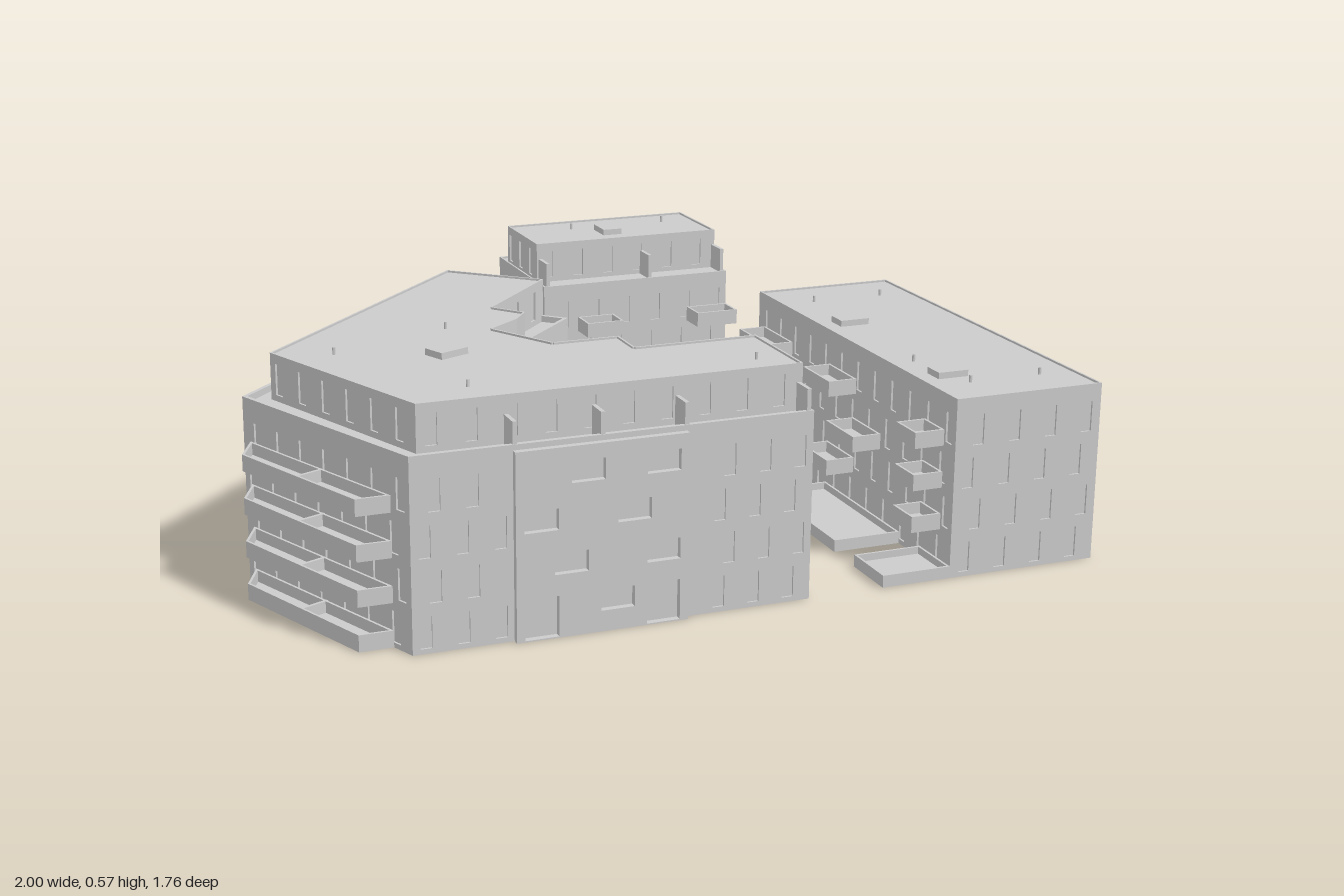
import * as THREE from 'three';

const MAT = new THREE.MeshStandardMaterial({ color: 0xcccccc, flatShading: true });
const THIN = new THREE.MeshStandardMaterial({ color: 0xcccccc, flatShading: true, side: THREE.DoubleSide });
const T = 0.005; // wall thickness, also window depth and parapet height
const FLOORS = [0, 0.105, 0.21, 0.315];

const rect = (x0, x1, z0, z1) => [[x0, z1], [x1, z1], [x1, z0], [x0, z0]];
const outline = (poly) => poly.map(([x, z]) => new THREE.Vector2(x, -z));

function add(parent, geo, name, x = 0, y = 0, z = 0, mat = MAT) {
  const m = new THREE.Mesh(geo, mat);
  m.name = name;
  m.position.set(x, y, z);
  parent.add(m);
  return m;
}

function box(parent, name, x0, x1, y0, y1, z0, z1, turn = 0) {
  add(parent, new THREE.BoxGeometry(x1 - x0, y1 - y0, z1 - z0), name,
    (x0 + x1) / 2, (y0 + y1) / 2, (z0 + z1) / 2).rotation.y = turn;
}

// Moves every edge of an [x, z] outline inwards by d, with mitred corners
function inset(poly, d) {
  const n = poly.length;
  const normal = (a, b) => {
    const dx = b[0] - a[0], dz = b[1] - a[1], l = Math.hypot(dx, dz);
    return [-dz / l, dx / l];
  };
  return poly.map((p, i) => {
    const a = normal(poly[(i + n - 1) % n], p), b = normal(p, poly[(i + 1) % n]);
    const k = d / (1 + a[0] * b[0] + a[1] * b[1]);
    return [p[0] - (a[0] + b[0]) * k, p[1] - (a[1] + b[1]) * k];
  });
}

// Upright prism over an outline, optionally with a hole
function prism(parent, name, poly, y, h, hole) {
  const s = new THREE.Shape(outline(poly));
  if (hole) s.holes.push(new THREE.Path(outline(hole)));
  const g = new THREE.ExtrudeGeometry(s, { depth: h, bevelEnabled: false });
  add(parent, g.rotateX(-Math.PI / 2), name, 0, y, 0);
}

// Flat wall of length len with rectangular openings [x, y, w, h]
function wallGeometry(len, h, openings, depth) {
  const path = (P, x, y, w, t) => {
    const p = new P();
    p.moveTo(x, y); p.lineTo(x + w, y); p.lineTo(x + w, y + t); p.lineTo(x, y + t);
    p.closePath();
    return p;
  };
  const s = path(THREE.Shape, 0, 0, len, h);
  openings.forEach((o) => s.holes.push(path(THREE.Path, ...o)));
  return new THREE.ExtrudeGeometry(s, { depth, bevelEnabled: false });
}

// Hollow block, open below: a roof, and walls with shallow recessed windows.
// bays[edge] = { at, len, top, openings } is a raised panel on that wall.
function block(parent, name, poly, y, h, floors, bays = {}) {
  const g = new THREE.Group();
  g.name = name;
  parent.add(g);
  const roof = new THREE.ShapeGeometry(new THREE.Shape(outline(inset(poly, T / 2))));
  add(g, roof.rotateX(-Math.PI / 2), 'roof', 0, y + h - T, 0, THIN);
  poly.forEach((p, i) => {
    const q = poly[(i + 1) % poly.length];
    const dx = q[0] - p[0], dz = q[1] - p[1], len = Math.hypot(dx, dz);
    const list = [].concat(bays[i] || []);
    const openings = [];
    const n = Math.round(len / 0.09);
    if (len > 0.1) floors.forEach((fy, f) => {
      for (let k = 0; k < n; k++) {
        const x = (k + 0.5) * len / n + (f % 2 ? 0.012 : -0.012) - 0.014;
        if (list.some((b) => x > b.at - 0.04 && x < b.at + b.len + 0.01)) continue;
        openings.push([x, fy + 0.012, 0.028, 0.075]);
      }
    });
    const wall = new THREE.Group();
    wall.name = 'facade';
    const X = new THREE.Vector3(dx / len, 0, dz / len), Z = new THREE.Vector3(-dz / len, 0, dx / len);
    wall.applyMatrix4(new THREE.Matrix4().makeBasis(X, new THREE.Vector3(0, 1, 0), Z)
      .setPosition(p[0], y, p[1]));
    g.add(wall);
    add(wall, wallGeometry(len, h, openings, T), 'windowWall', 0, 0, -T);
    add(wall, new THREE.PlaneGeometry(len, h - T), 'windowPanes', len / 2, (h - T) / 2, -T - 0.0005, THIN);
    list.forEach((b) => add(wall, wallGeometry(b.len, b.top, b.openings, 0.016), 'entrancePanel', b.at));
  });
}

// Balcony or terrace: floor slab with a low parapet
function tray(parent, name, poly, y, h) {
  prism(parent, name + 'Floor', poly, y, 0.012);
  prism(parent, name + 'Parapet', poly, y, h, inset(poly, 0.006));
}

function vents(parent, y, list) {
  list.forEach(([x, z]) => add(parent, new THREE.CylinderGeometry(0.004, 0.004, 0.025, 8), 'vent', x, y, z));
}

// Raised entrance panels: openings are [x, y, w, h]
const win = (x, y) => [x, y, 0.08, 0.05];
const door = (x) => [x, 0.003, 0.08, 0.097];
const tallBay = (at) => ({
  at, len: 0.41, top: 0.445,
  openings: [door(0.02), door(0.31), win(0.09, 0.15), win(0.2, 0.05), win(0.24, 0.255), win(0.02, 0.255),
    win(0.31, 0.15), win(0.13, 0.36), win(0.31, 0.36)],
});
const lowBay = (at, ...windows) => ({
  at, len: 0.31, top: 0.32, openings: [door(0.03), ...windows],
});
const bayA = (at) => lowBay(at, win(0.03, 0.255), win(0.1, 0.15), win(0.21, 0.05));
const bayB = (at) => lowBay(at, win(0.205, 0.255), win(0.03, 0.15), win(0.135, 0.05));

function angledBuilding(root) {
  const g = new THREE.Group();
  g.name = 'angledBuilding';
  root.add(g);
  const plan = [[-0.735, 0.86], [0.222, 0.86], [0.222, 0.472], [-0.09, 0.472], [-0.09, 0.43],
    [-0.16, 0.43], [-0.27, 0.2], [-0.22, 0.145], [-0.235, 0.105], [-0.02, -0.11], [-0.295, -0.38], [-0.97, 0.295]];
  block(g, 'lowerFloors', plan, 0, 0.447, FLOORS, { 0: tallBay(0.235), 10: tallBay(0.3) });
  prism(g, 'roofParapet', plan, 0.442, 0.016, inset(plan, 0.01));
  block(g, 'topFloor', [[-0.7, 0.8], [0.22, 0.8], [0.22, 0.54], [-0.09, 0.54], [-0.09, 0.435], [-0.255, 0.435],
    [-0.35, 0.265], [-0.265, 0.2], [-0.225, 0.145], [-0.285, 0.07], [-0.07, -0.16], [-0.275, -0.345], [-0.9, 0.29]],
  0.44, 0.115, [0.005]);
  // Roof terrace dividers
  [-0.5, -0.295, -0.095, 0.205].forEach((x) => box(g, 'terraceDivider', x, x + 0.01, 0.44, 0.51, 0.8, 0.858));
  box(g, 'terraceDivider', 0.205, 0.215, 0.44, 0.51, 0.475, 0.54);
  [0.3, 0.505, 0.71].forEach((s) => {
    const x = -0.281 - s * 0.707, z = -0.366 + s * 0.707;
    box(g, 'terraceDivider', x - 0.02, x + 0.02, 0.44, 0.51, z - 0.005, z + 0.005, -Math.PI / 4);
  });
  // Outer balconies on the slanted side
  FLOORS.forEach((y) => {
    tray(g, 'slantedBalcony', [[-1, 0.41], [-0.84, 0.8], [-0.76, 0.8], [-0.96, 0.32]], y, 0.04);
    box(g, 'balconyDivider', -0.92, -0.85, y, y + 0.04, 0.583, 0.591, 0.4);
  });
  // Courtyard terraces and balconies
  tray(g, 'terrace', rect(0.035, 0.222, 0.295, 0.472), 0, 0.03);
  tray(g, 'terrace', [[-0.15, 0.02], [-0.03, 0.145], [0.1, 0.01], [-0.02, -0.11]], 0, 0.03);
  // A strip of balcony on the slanted wing, from s to e along its inner face
  const wingBalcony = (s, e, y) => {
    const at = (t, o) => [-0.02 - t + o, -0.11 + t + o];
    tray(g, 'wingBalcony', [at(e, 0), at(e, 0.056), at(s, 0.056), at(s, 0)], y, 0.04);
  };
  FLOORS.slice(1).forEach((y, i) => {
    const odd = i % 2;
    tray(g, 'courtBalcony', odd ? rect(0.035, 0.14, 0.4, 0.472) : rect(-0.07, 0.06, 0.4, 0.472), y, 0.04);
    wingBalcony(odd ? 0.08 : 0.14, odd ? 0.16 : 0.234, y);
  });
  box(g, 'skylight', -0.555, -0.475, 0.54, 0.566, 0.4, 0.46, 0.4);
  vents(g, 0.555, [[-0.76, 0.34], [-0.45, 0.21], [-0.55, 0.7], [0.14, 0.72]]);
}

function longBuilding(root) {
  const g = new THREE.Group();
  g.name = 'longBuilding';
  root.add(g);
  block(g, 'floors', rect(0.592, 0.982, -0.24, 0.86), 0, 0.445, FLOORS, { 1: [bayA(0.135), bayB(0.655)] });
  // Terraces: [z0, z1], each with the z spans of its balconies on odd and even floors
  [[-0.24, 0.085, [-0.2, -0.025], [-0.2, -0.025]],
    [0.195, 0.605, [0.2, 0.35], [0.34, 0.49]],
    [0.71, 0.86, [0.71, 0.805], [0.71, 0.805]]].forEach(([z0, z1, ...spans]) => {
    tray(g, 'terrace', rect(0.415, 0.592, z0, z1), 0, 0.03);
    FLOORS.slice(1).forEach((y, i) => tray(g, 'balcony', rect(0.515, 0.592, ...spans[i % 2]), y, 0.04));
  });
  [0.135, 0.655].forEach((z) => box(g, 'skylight', 0.64, 0.72, 0.42, 0.456, z - 0.028, z + 0.028));
  vents(g, 0.445, [[0.69, -0.1], [0.89, -0.1], [0.66, 0.52], [0.7, 0.73], [0.89, 0.73]]);
}

function backBuilding(root) {
  const g = new THREE.Group();
  g.name = 'backBuilding';
  root.add(g);
  block(g, 'lowerFloors', rect(0.044, 0.594, -0.866, -0.475), 0, 0.45, FLOORS, { 2: bayA(0.12) });
  block(g, 'topFloor', rect(0.049, 0.589, -0.803, -0.55), 0.435, 0.12, [0.01]);
  [0.054, 0.359, 0.579].forEach((x) => box(g, 'terraceDivider', x, x + 0.01, 0.43, 0.512, -0.55, -0.485));
  // Terraces with staggered balconies above
  [[0.044, 0.25, 0.144], [0.357, 0.594, 0.474]].forEach(([x0, x1, mid]) => {
    tray(g, 'terrace', rect(x0, x1, -0.475, -0.3), 0, 0.03);
    FLOORS.slice(1).forEach((y, i) => tray(g, 'balcony',
      i % 2 ? rect(x0, mid, -0.475, -0.395) : rect(mid, x1, -0.475, -0.395), y, 0.04));
  });
  box(g, 'skylight', 0.272, 0.327, 0.53, 0.566, -0.69, -0.61);
  vents(g, 0.555, [[0.214, -0.72], [0.494, -0.72]]);
}

export function createModel() {
  const root = new THREE.Group();
  root.name = 'apartmentComplex';
  angledBuilding(root);
  longBuilding(root);
  backBuilding(root);
  return root;
}
